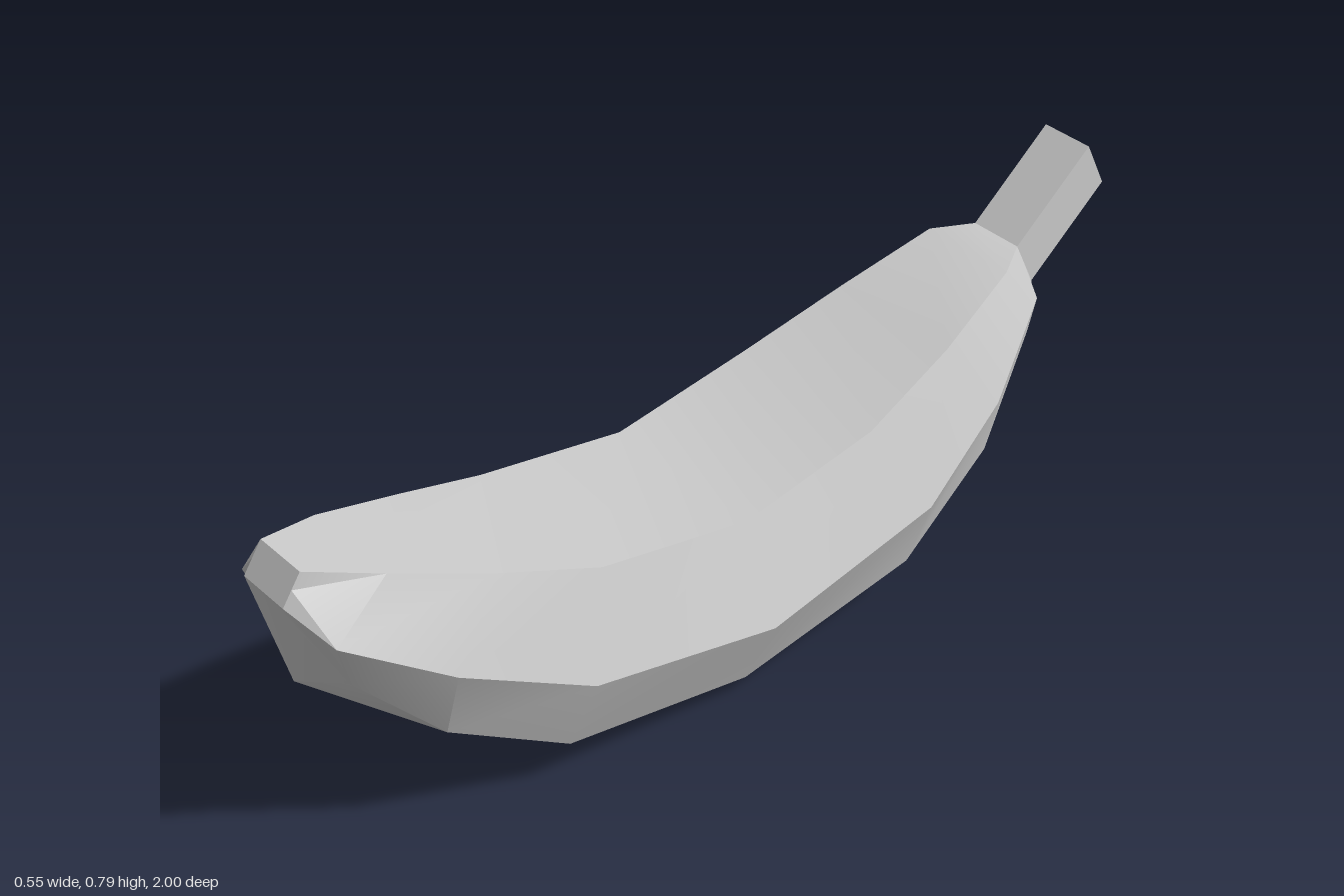
import * as THREE from 'three';
import { toCreasedNormals } from 'three/addons/utils/BufferGeometryUtils.js';

// Half sections from front to back: keel [z, y], then lower, side and top corners [x, z, y]
const bodySections = [
  [[1.0, 0.61], [0.06, 1.0, 0.61], [0.06, 0.98, 0.64], [0.06, 0.96, 0.67]],
  [[0.96, 0.39], [0.11, 0.915, 0.43], [0.147, 0.955, 0.55], [0.11, 0.82, 0.625]],
  [[0.75, 0.205], [0.157, 0.75, 0.257], [0.205, 0.75, 0.415], [0.153, 0.62, 0.55]],
  [[0.49, 0.073], [0.188, 0.5, 0.108], [0.25, 0.48, 0.277], [0.185, 0.41, 0.477]],
  [[0.07, 0.0], [0.19, 0.07, 0.037], [0.275, 0.07, 0.212], [0.19, 0.07, 0.418]],
  [[-0.42, 0.08], [0.188, -0.36, 0.108], [0.25, -0.36, 0.277], [0.185, -0.25, 0.475]],
  [[-0.6, 0.19], [0.157, -0.6, 0.257], [0.205, -0.58, 0.405], [0.153, -0.48, 0.55]],
  [[-0.77, 0.42], [0.09, -0.775, 0.435], [0.115, -0.77, 0.53], [0.11, -0.68, 0.625]],
  [[-0.81, 0.53], [0.06, -0.81, 0.53], [0.06, -0.785, 0.58], [0.06, -0.76, 0.63]],
];
const stemSections = [
  bodySections[bodySections.length - 1],
  [[-1.0, 0.69], [0.06, -1.0, 0.69], [0.06, -0.975, 0.74], [0.06, -0.95, 0.79]],
];

// Mirror a half section into a closed ring
function ring([keel, ...side]) {
  const right = side.map(([x, z, y]) => [x, y, z]);
  const left = side.map(([x, z, y]) => [-x, y, z]).reverse();
  return [[0, keel[1], keel[0]], ...right, ...left];
}

// Skin the rings and close both ends
function loft(name, sections) {
  const rings = sections.map(ring);
  const n = rings[0].length;
  const index = [];
  for (let r = 0; r < rings.length - 1; r++) {
    for (let i = 0; i < n; i++) {
      const j = (i + 1) % n;
      const a = r * n + i, b = a + n, c = (r + 1) * n + j, d = r * n + j;
      index.push(a, b, c, a, c, d);
    }
  }
  const last = (rings.length - 1) * n;
  for (let i = 1; i < n - 1; i++) {
    index.push(0, i, i + 1, last, last + i + 1, last + i);
  }
  const geometry = new THREE.BufferGeometry();
  geometry.setAttribute('position', new THREE.Float32BufferAttribute(rings.flat(2), 3));
  geometry.setIndex(index);
  const mesh = new THREE.Mesh(
    toCreasedNormals(geometry, THREE.MathUtils.degToRad(30)),
    new THREE.MeshStandardMaterial({ color: 0xcccccc })
  );
  mesh.name = name;
  return mesh;
}

export function createModel() {
  const banana = new THREE.Group();
  banana.name = 'banana';
  banana.add(loft('fruitBody', bodySections), loft('stem', stemSections));
  return banana;
}
